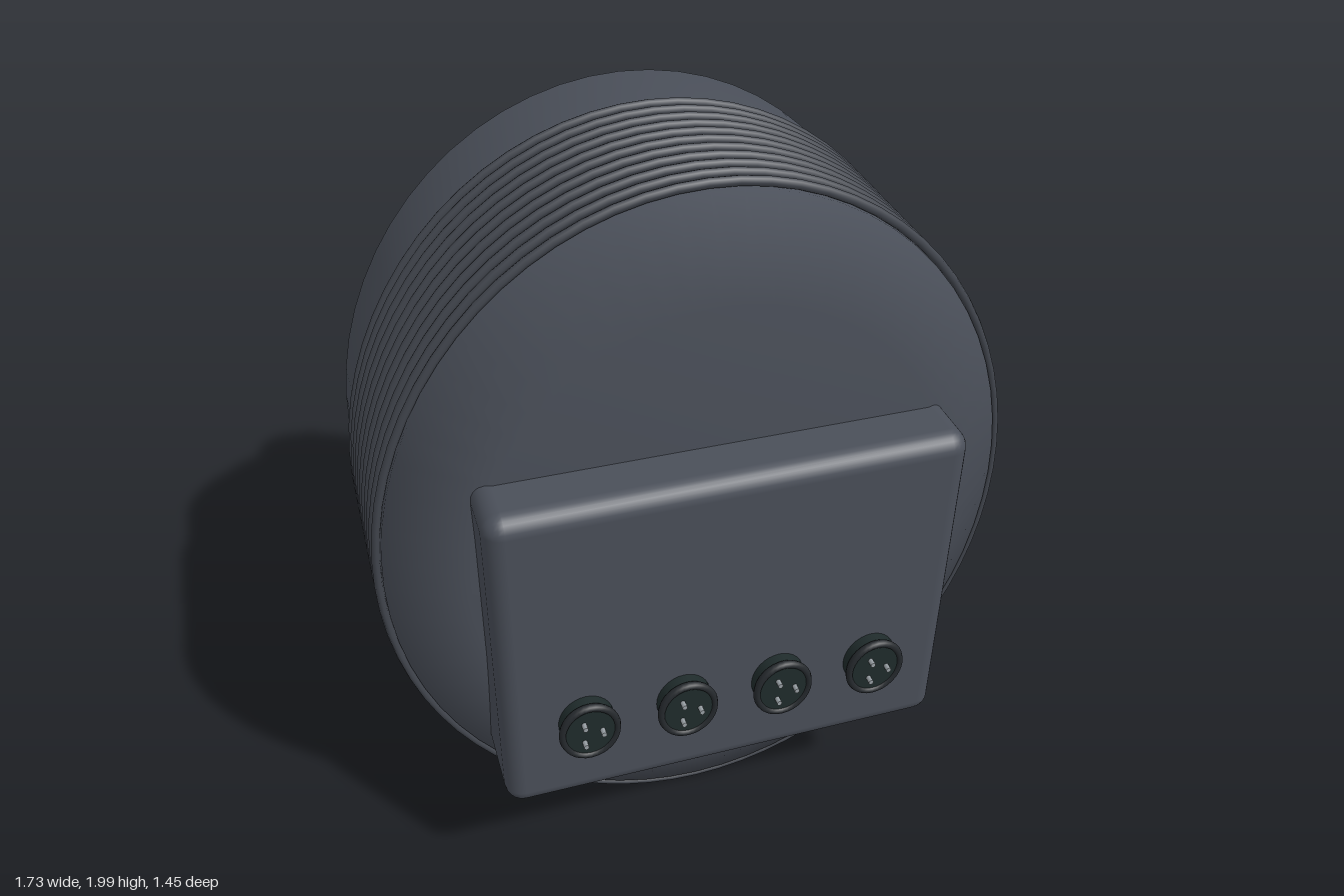
import * as THREE from 'three';
import { RoundedBoxGeometry } from 'three/addons/geometries/RoundedBoxGeometry.js';

const mat = (name, color) => new THREE.MeshStandardMaterial({ name, color });

export function createModel() {
  const casing = mat('casing grey', 0x4a4f59);
  const rib = mat('rib grey', 0x41454d);
  const rubber = mat('rubber black', 0x25292d);
  const socketDark = mat('socket dark green', 0x1f2b2b);
  const teal = mat('teal', 0x3a8291);
  const steel = mat('steel', 0x9aa1a6);

  const model = new THREE.Group();
  model.name = 'housing';
  const CY = 1.005, SX = 0.866; // centre height, oval squash

  const add = (parent, name, geometry, material, x = 0, y = 0, z = 0) => {
    const m = new THREE.Mesh(geometry, material);
    m.name = name;
    m.position.set(x, y, z);
    parent.add(m);
    return m;
  };
  // cylinder along z
  const disc = (r, depth, sides) => new THREE.CylinderGeometry(r, r, depth, sides).rotateX(Math.PI / 2);

  // everything round shares the oval squash
  const oval = new THREE.Group();
  oval.name = 'ovalParts';
  oval.position.y = CY;
  oval.scale.x = SX;
  model.add(oval);

  // main body, turned from back to front
  const profile = [[0, -0.45], [0.895, -0.45], [0.97, -0.36], [0.97, 0.4], [0.735, 0.51], [0, 0.51]]
    .map(([r, z]) => new THREE.Vector2(r, z));
  add(oval, 'body', new THREE.LatheGeometry(profile, 64).rotateX(Math.PI / 2), casing);

  // ribs around the body
  const ribGeo = new THREE.TorusGeometry(0.983, 0.013, 8, 72);
  for (let i = 0; i < 11; i++) add(oval, 'rib', ribGeo, rib, 0, 0, -0.09 + i * 0.0475);

  // raised ring on the back
  add(oval, 'backRing', new THREE.TorusGeometry(0.804, 0.016, 8, 72), rib, 0, 0, -0.471);

  // seven round cells: one in the middle, six around it
  const cellGeo = disc(0.219, 0.09, 40);
  const sealGeo = new THREE.TorusGeometry(0.233, 0.011, 8, 40);
  const shaftGeo = disc(0.04, 0.04, 10);
  for (let i = 0; i < 7; i++) {
    const r = i === 6 ? 0 : 0.52, a = i * Math.PI / 3;
    const cell = new THREE.Group();
    cell.name = 'cell';
    cell.position.set(r * Math.cos(a), r * Math.sin(a), 0);
    oval.add(cell);
    add(cell, 'cellDisc', cellGeo, teal, 0, 0, -0.64);
    add(cell, 'cellSeal', sealGeo, rubber, 0, 0, -0.615);
    add(cell, 'cellShaft', shaftGeo, steel, -0.06, 0.052, -0.705);
  }

  // control box on the front
  add(model, 'controlBox', new RoundedBoxGeometry(1.23, 0.97, 0.34, 3, 0.05), casing, 0, 0.865, 0.49);

  // four sockets with three pins each
  const barrelGeo = disc(0.085, 0.05, 32);
  const rimGeo = new THREE.TorusGeometry(0.084, 0.011, 8, 32);
  const pinGeo = disc(0.008, 0.03, 8);
  for (let i = 0; i < 4; i++) {
    const socket = new THREE.Group();
    socket.name = 'socket';
    socket.position.set(-0.395 + i * 0.2633, 0.66, 0);
    socket.scale.x = SX;
    model.add(socket);
    add(socket, 'socketBarrel', barrelGeo, socketDark, 0, 0, 0.68);
    add(socket, 'socketRim', rimGeo, rubber, 0, 0, 0.7);
    for (let k = 0; k < 3; k++) {
      const a = k * Math.PI * 2 / 3;
      add(socket, 'pin', pinGeo, steel, 0.037 * Math.cos(a), 0.037 * Math.sin(a), 0.709);
    }
  }
  return model;
}
